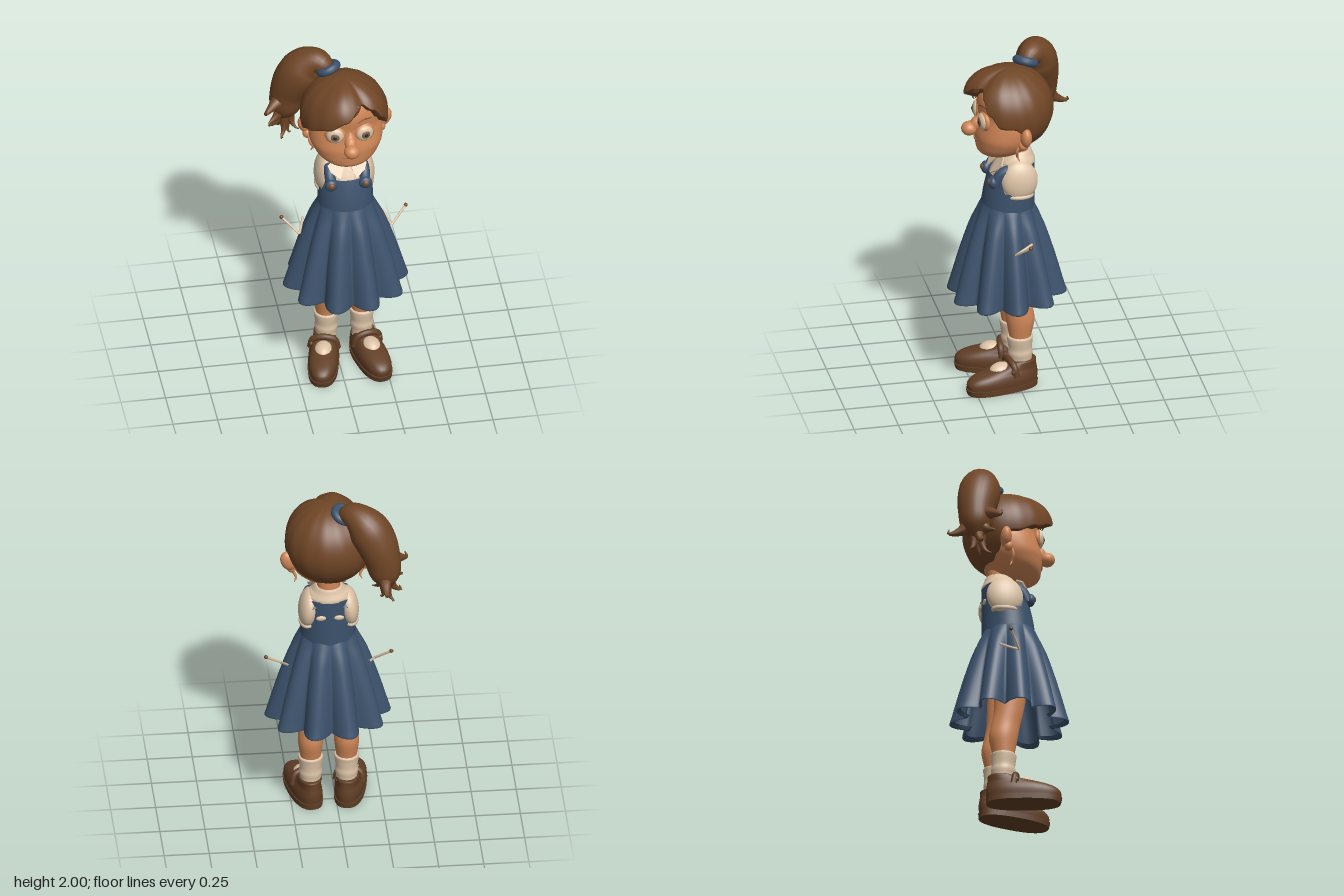
import * as THREE from 'three';

const mat = (name, color, side = THREE.FrontSide) => {
  const m = new THREE.MeshStandardMaterial({ color, side });
  m.name = name;
  return m;
};
const V = (p) => new THREE.Vector3(...p);
const CX = 0.042; // body centre line

// Closed-around surface from f(angle, v), v running upward
function grid(nu, nv, f) {
  const pos = [], idx = [];
  for (let i = 0; i <= nv; i++)
    for (let j = 0; j < nu; j++) pos.push(...f((j / nu) * Math.PI * 2, i / nv));
  for (let i = 0; i < nv; i++)
    for (let j = 0; j < nu; j++) {
      const k = (j + 1) % nu, a = i * nu + j, b = i * nu + k, c = a + nu, d = b + nu;
      idx.push(a, c, b, b, c, d);
    }
  const g = new THREE.BufferGeometry();
  g.setAttribute('position', new THREE.Float32BufferAttribute(pos, 3));
  g.setIndex(idx);
  g.computeVertexNormals();
  return g;
}

// Smooth interpolation down the columns of a table
function sampler(rows) {
  const cols = rows[0].map((_, c) => new THREE.SplineCurve(rows.map((r, i) => new THREE.Vector2(i, r[c]))));
  return (t) => cols.map((s) => s.getPoint(t).y);
}

// Loft of rounded outlines, rows: [y, half width, back z, front z]; power < 1 squares the outline
function loft(rows, steps = 4, nu = 32, power = 1) {
  const at = sampler(rows), sq = (n) => Math.sign(n) * Math.pow(Math.abs(n), power);
  return grid(nu, (rows.length - 1) * steps, (a, v) => {
    const [y, rx, z0, z1] = at(v);
    return [rx * sq(Math.cos(a)), y, (z0 + z1) / 2 + ((z1 - z0) / 2) * sq(Math.sin(a))];
  });
}

// Tapered tube along points with matching radii
function strand(points, radii, nu = 12, nv = 24) {
  const curve = new THREE.CatmullRomCurve3(points.map(V));
  const fr = curve.computeFrenetFrames(nv), at = sampler(radii.map((r) => [r]));
  return grid(nu, nv, (a, v) => {
    const i = Math.round(v * nv), r = Math.max(at(v)[0], 0.0005);
    return curve.getPointAt(v).addScaledVector(fr.normals[i], r * Math.cos(a))
      .addScaledVector(fr.binormals[i], -r * Math.sin(a)).toArray();
  });
}

export function createModel() {
  const root = new THREE.Group();
  const hair = mat('hair brown', 0x704626), shoe = mat('shoe brown', 0x613f26);
  const skin = mat('skin', 0xd08757), lip = mat('lip', 0xa9643f);
  const blue = mat('dress blue', 0x3c526c, THREE.DoubleSide);
  const cream = mat('cream', 0xdcc3a6), copper = mat('button', 0x84502f);
  const iris = mat('iris', 0x7a6048), dark = mat('pupil', 0x35261d);

  const add = (name, geo, m, p = [0, 0, 0], parent = root) => {
    const mesh = new THREE.Mesh(geo, m);
    mesh.name = name;
    mesh.position.set(...p);
    parent.add(mesh);
    return mesh;
  };
  const ball = (name, m, p, s, parent = root) => {
    const mesh = add(name, new THREE.SphereGeometry(1, 24, 16), m, p, parent);
    mesh.scale.set(...s);
    return mesh;
  };

  // Skirt with ten rounded folds and a turned-in hem
  const skirtAt = sampler([[0.565, 0.235, 0.085], [0.545, 0.255, 0.095], [0.6, 0.25, 0.085], [0.78, 0.225, 0.057], [0.95, 0.19, 0.034], [1.05, 0.164, 0.012], [1.1, 0.15, 0.0]]);
  add('skirt', grid(160, 30, (a, v) => {
    const [y, base, fold] = skirtAt(v);
    const r = base + fold * Math.pow(Math.abs(Math.cos(5 * a)), 1.05);
    return [r * Math.cos(a), y - 0.012 * (1 - v) * Math.sin(a), r * 0.945 * Math.sin(a)];
  }), blue, [CX, 0, 0.043]);

  // Bodice, cut low at the armholes and across the bib
  add('bodice', grid(64, 12, (a, v) => {
    const s = Math.sin(a), k = THREE.MathUtils.smoothstep(Math.abs(s), 0.35, 0.7);
    const top = 1.2 + k * (s > 0 ? 0.085 : 0.15), y = 1.07 + v * (top - 1.07), t = (y - 1.07) / 0.29;
    const z1 = 0.187 - 0.025 * t - 0.045 * t * t, z0 = -0.11;
    return [(0.155 - 0.008 * t) * Math.cos(a), y, (z0 + z1) / 2 + ((z1 - z0) / 2) * s];
  }), blue, [CX, 0, 0]);

  // Shirt, neck and collar
  add('shirt', loft([[1.12, 0.135, -0.1, 0.16], [1.25, 0.135, -0.1, 0.145], [1.32, 0.135, -0.1, 0.112], [1.37, 0.118, -0.1, 0.08], [1.4, 0.08, -0.09, 0.062], [1.415, 0.072, -0.085, 0.055]]), cream, [CX, 0, 0]);
  add('collar', loft([[1.345, 0.12, -0.113, 0.095], [1.36, 0.122, -0.112, 0.094], [1.39, 0.094, -0.1, 0.076], [1.418, 0.073, -0.09, 0.058], [1.41, 0.06, -0.07, 0.045]]), cream, [CX, 0, 0]);
  add('neck', new THREE.CylinderGeometry(0.062, 0.066, 0.14, 24), skin, [CX, 1.43, -0.012]);
  const flap = new THREE.Shape([[0.004, 0.085], [0.06, 0.1], [0.11, 0.06], [0.095, 0.02], [0.045, -0.025]].map((p) => new THREE.Vector2(...p)));
  const flapGeo = new THREE.ExtrudeGeometry(flap, { depth: 0.008, bevelEnabled: false });
  const flapMirror = flapGeo.clone().rotateY(Math.PI).translate(0, 0, 0.008);

  // Paired parts: s = 1 is the model's left
  for (const s of [1, -1]) {
    const side = s > 0 ? 'left' : 'right';
    const X = (d) => CX + s * d;

    add(side + 'CollarFlap', s > 0 ? flapGeo : flapMirror, cream, [CX, 1.315, 0.128]).rotation.x = -0.65;
    ball(side + 'Sleeve', cream, [X(0.112), 1.268, -0.005], [0.055, 0.115, 0.103]).rotation.z = s * 0.12;
    const cuff = add(side + 'Cuff', new THREE.TorusGeometry(0.06, 0.012, 8, 24), cream, [X(0.12), 1.18, -0.005]);
    cuff.rotation.x = Math.PI / 2;
    cuff.scale.set(0.65, 1.1, 1);

    // Strap, button pad and button
    add(side + 'Strap', strand([[X(0.092), 1.25, 0.128], [X(0.098), 1.31, 0.095], [X(0.1), 1.335, 0.05], [X(0.095), 1.325, -0.04], [X(0.085), 1.29, -0.085]], [0.032, 0.03, 0.024, 0.024, 0.026]), blue);
    ball(side + 'ButtonPad', blue, [X(0.096), 1.262, 0.143], [0.036, 0.036, 0.025]);
    ball(side + 'Button', copper, [X(0.096), 1.268, 0.162], [0.018, 0.018, 0.012]);
    ball(side + 'BackButton', cream, [X(0.05), 1.25, -0.108], [0.028, 0.015, 0.008]);

    // Leg and sock
    add(side + 'Leg', loft([[0.2, 0.052, -0.065, 0.04], [0.3, 0.058, -0.072, 0.05], [0.4, 0.07, -0.092, 0.068], [0.48, 0.067, -0.08, 0.082], [0.56, 0.07, -0.065, 0.1], [0.7, 0.075, -0.06, 0.12], [0.88, 0.07, -0.05, 0.12]]), skin, [X(0.1), 0, 0]);
    add(side + 'Sock', loft([[0.08, 0.055, -0.08, 0.06], [0.16, 0.058, -0.076, 0.05], [0.2, 0.064, -0.08, 0.056], [0.23, 0.061, -0.077, 0.054], [0.275, 0.067, -0.08, 0.06], [0.3, 0.068, -0.083, 0.061], [0.305, 0.055, -0.07, 0.05]]), cream, [X(0.1), 0, 0]);

    // Shoe, toes turned out
    const foot = new THREE.Group();
    foot.name = side + 'Shoe';
    foot.position.set(X(0.107), 0, -0.015);
    foot.rotation.y = s * 0.22;
    root.add(foot);
    add('sole', loft([[0, 0, 0.05, 0.15], [0, 0.084, -0.092, 0.32], [0, 0.084, -0.092, 0.32], [0.032, 0.086, -0.095, 0.328], [0.032, 0.086, -0.095, 0.328], [0.034, 0.05, 0, 0.2]], 1, 40, 0.8), shoe, [0, 0, 0], foot);
    add('upper', loft([[0.03, 0.081, -0.09, 0.32], [0.065, 0.084, -0.094, 0.322], [0.095, 0.078, -0.092, 0.29], [0.118, 0.068, -0.088, 0.22], [0.142, 0.062, -0.085, 0.115], [0.165, 0.056, -0.08, 0.055], [0.155, 0.02, -0.03, 0.02]], 4, 40, 0.85), shoe, [0, 0, 0], foot);
    ball('sockInstep', cream, [0, 0.112, 0.12], [0.052, 0.046, 0.07], foot);
    add('strap', strand([[-0.076, 0.09, 0.06], [-0.06, 0.148, 0.068], [0, 0.168, 0.074], [0.06, 0.148, 0.068], [0.076, 0.09, 0.06]], [0.018, 0.018, 0.018, 0.018, 0.018]), shoe, [0, 0, 0], foot);
    ball('buckle', shoe, [s * 0.07, 0.12, 0.07], [0.016, 0.02, 0.02], foot);

    // Pin-headed sticks beside the skirt
    const bend = [X(0.258), 0.88, 0.045], tip = [X(0.348), 0.96, -0.02];
    add(side + 'Stick', strand([bend, tip], [0.007, 0.007], 8, 2), cream);
    add(side + 'ShortStick', strand([bend, [X(0.222), 0.92, -0.055]], [0.007, 0.007], 8, 2), cream);
    ball(side + 'StickHead', hair, tip, [0.011, 0.011, 0.011]);

    // Ear and hanging wisp
    ball(side + 'Ear', skin, [X(0.217) + 0.006, 1.583, -0.02], [0.044, 0.06, 0.032]).rotation.z = -s * 0.35;
    ball(side + 'EarLobe', skin, [X(0.206), 1.53, -0.005], [0.026, 0.03, 0.025]);
    add(side + 'EarDrop', strand([[X(0.2), 1.54, 0.01], [X(0.195), 1.49, 0.025], [X(0.178), 1.45, 0.02], [X(0.188), 1.425, 0.01]], [0.006, 0.009, 0.008, 0.003]), skin);

    // Eye
    const eye = new THREE.Group();
    eye.name = side + 'Eye';
    eye.position.set(X(0.082), 1.64, 0.193);
    eye.rotation.y = s * 0.2;
    root.add(eye);
    ball('lid', skin, [0, 0, -0.008], [0.06, 0.058, 0.026], eye);
    ball('eyeWhite', cream, [0, 0, 0.002], [0.049, 0.049, 0.026], eye);
    ball('iris', iris, [0, 0, 0.021], [0.026, 0.026, 0.01], eye);
    ball('pupil', dark, [0, 0, 0.028], [0.012, 0.012, 0.005], eye);
    add(side + 'Eyebrow', strand([[X(0.045), 1.722, 0.21], [X(0.085), 1.735, 0.198], [X(0.125), 1.725, 0.176]], [0.002, 0.004, 0.001]), hair);
  }

  // Head
  add('head', loft([[1.398, 0.0, 0.06, 0.11], [1.405, 0.075, 0.0, 0.17], [1.43, 0.125, -0.04, 0.208], [1.46, 0.162, -0.07, 0.217], [1.5, 0.188, -0.11, 0.221], [1.54, 0.203, -0.13, 0.222], [1.6, 0.207, -0.165, 0.211], [1.66, 0.2, -0.18, 0.202], [1.74, 0.197, -0.185, 0.208], [1.82, 0.165, -0.15, 0.18], [1.87, 0.08, -0.06, 0.1], [1.88, 0, 0.0, 0.04]], 4, 48, 0.94), skin, [CX, 0, 0]);
  ball('nose', skin, [CX, 1.563, 0.256], [0.044, 0.04, 0.044]);
  add('noseBridge', strand([[CX, 1.67, 0.185], [CX, 1.62, 0.197], [CX, 1.59, 0.218], [CX, 1.57, 0.235]], [0.01, 0.022, 0.034, 0.03], 20, 16), skin);
  add('mouth', strand([[CX - 0.066, 1.513, 0.214], [CX - 0.03, 1.5, 0.221], [CX, 1.497, 0.223], [CX + 0.03, 1.5, 0.221], [CX + 0.066, 1.513, 0.214]], [0.001, 0.004, 0.005, 0.004, 0.001]), lip);

  // Hair cap: hairline as [azimuth, polar angle] in degrees, 90 = front
  const line = [[-90, 148], [-45, 146], [-25, 134], [-8, 106], [5, 98], [22, 97], [38, 80], [52, 62], [66, 49], [78, 56], [95, 69], [120, 82], [150, 93], [175, 104], [192, 106], [207, 134], [225, 146], [270, 148]];
  const hairline = (deg) => {
    const i = Math.max(1, line.findIndex((p) => p[0] >= deg));
    const [a, p] = line[i - 1], [b, q] = line[i];
    return p + (q - p) * THREE.MathUtils.smoothstep(deg, a, b);
  };
  const bell = (x, mid, w) => Math.exp(-(((x - mid) / w) ** 2));
  add('hairCap', grid(120, 40, (a, v) => {
    let deg = (a * 180) / Math.PI;
    if (deg > 270) deg -= 360;
    const t = Math.min(1, (1 - v) * 1.08), rim = Math.max(0, (1 - v) * 1.08 - 1) / 0.08;
    const th = (t * hairline(deg) * Math.PI) / 180, st = Math.sin(th), fringe = Math.max(0, Math.sin(2 * th)) * st;
    const bulge = (0.15 * bell(deg, 103, 30) + 0.06 * bell(deg, 38, 18)) * fringe + 0.02 * bell(deg, 100, 35) * st;
    const part = 0.06 * bell(deg, 66, 9) * st;
    const r = (1 + bulge - part + 0.005 * Math.sin(a * 14 + t * 3) * st) * (1 - 0.3 * rim);
    return [0.245 * r * st * Math.cos(a), 0.24 * r * Math.cos(th), 0.243 * r * st * Math.sin(a)];
  }), hair, [0.036, 1.676, 0.027]);
  add('foreheadCurl', strand([[0.085, 1.83, 0.2], [0.05, 1.79, 0.226], [0.015, 1.755, 0.23], [0.0, 1.735, 0.226], [0.02, 1.728, 0.222]], [0.02, 0.022, 0.012, 0.007, 0.002]), hair);
  add('sideLock', strand([[0.2, 1.77, 0.13], [0.245, 1.7, 0.09], [0.245, 1.65, 0.06], [0.25, 1.64, 0.03]], [0.035, 0.03, 0.014, 0.002]), hair);

  // Ponytail, band and curled ends
  const band = add('hairBand', new THREE.TorusGeometry(0.048, 0.025, 12, 32), blue, [-0.035, 1.905, -0.078]);
  band.quaternion.setFromUnitVectors(V([0, 0, 1]), V([-0.35, 0.85, -0.3]).normalize());
  add('ponytail', strand([[-0.03, 1.88, -0.075], [-0.075, 1.923, -0.115], [-0.13, 1.898, -0.15], [-0.19, 1.815, -0.175], [-0.235, 1.7, -0.2], [-0.255, 1.59, -0.205], [-0.27, 1.48, -0.2]], [0.042, 0.08, 0.114, 0.114, 0.1, 0.082, 0.015], 24, 40), hair);
  const ends = [[-0.385, 1.62, -0.09, 0.03], [-0.36, 1.53, -0.12, 0.0], [-0.25, 1.53, -0.36, 0.03], [-0.3, 1.43, -0.25, 0.0], [-0.24, 1.42, -0.18, 0.01], [-0.345, 1.47, -0.19, 0.025], [-0.2, 1.47, -0.14, 0.0], [-0.29, 1.42, -0.13, 0.01]];
  ends.forEach(([x, y, z, lift], i) => {
    const mid = [-0.25 + (x + 0.25) * 0.55, y + 0.025, -0.2 + (z + 0.2) * 0.55];
    add('curl' + (i + 1), strand([[-0.245, 1.66, -0.205], mid, [x, y, z], [x + 0.012, y + lift, z + 0.005]], [0.055, 0.042, 0.02, 0.003], 10, 18), hair);
  });
  return root;
}
